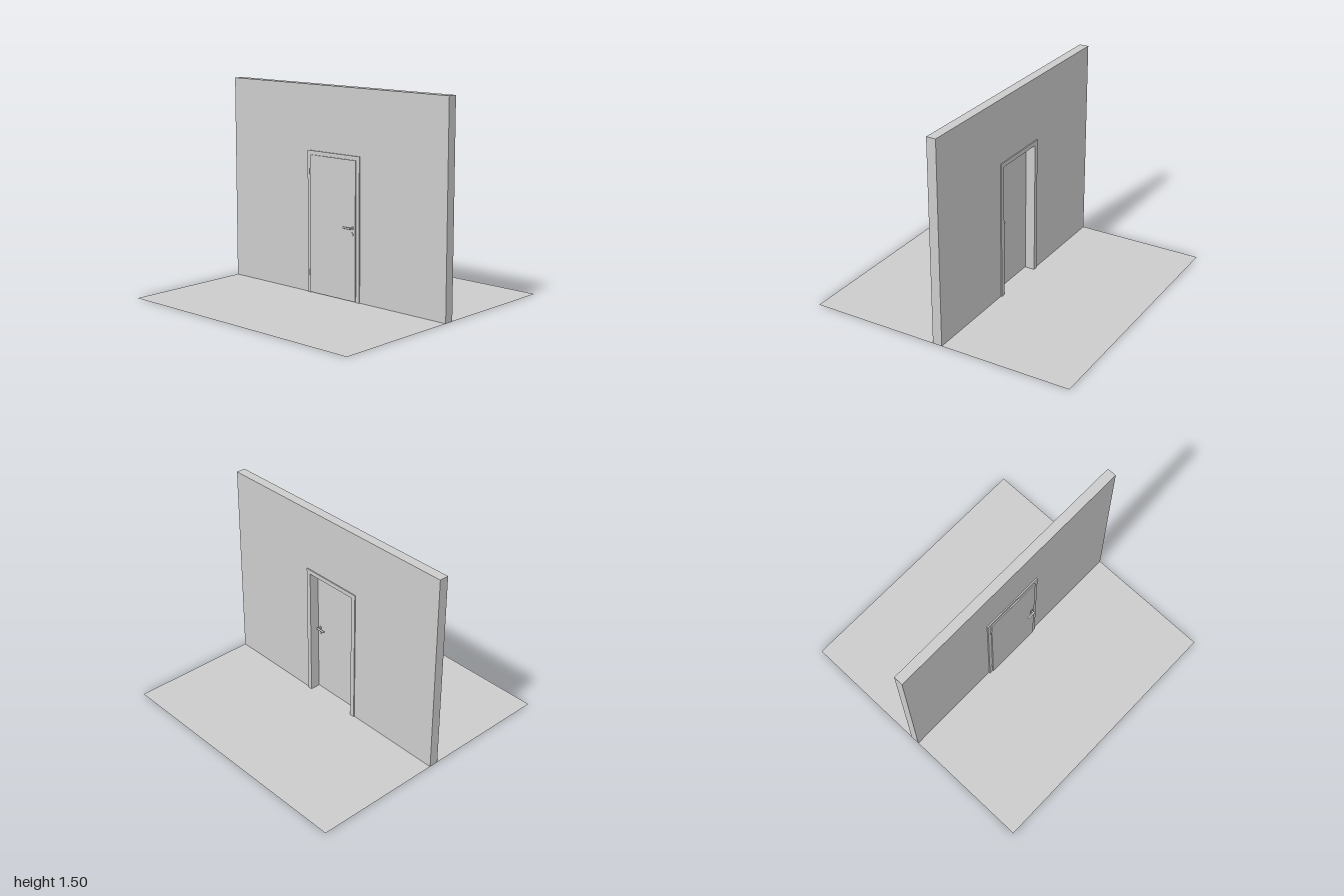
import * as THREE from 'three';

const material = new THREE.MeshStandardMaterial({ color: 0xcccccc });
const floorMaterial = new THREE.MeshStandardMaterial({ color: 0xcccccc, side: THREE.DoubleSide });

function part(parent, name, geometry, x = 0, y = 0, z = 0) {
  const mesh = new THREE.Mesh(geometry, material);
  mesh.name = name;
  mesh.position.set(x, y, z);
  parent.add(mesh);
  return mesh;
}

// Upright slab standing on the floor with a doorway cut from its lower edge
function archway(halfW, height, holeHalfW, holeHeight, zBack, zFront) {
  const shape = new THREE.Shape([
    [-halfW, 0], [-holeHalfW, 0], [-holeHalfW, holeHeight], [holeHalfW, holeHeight],
    [holeHalfW, 0], [halfW, 0], [halfW, height], [-halfW, height],
  ].map(([x, y]) => new THREE.Vector2(x, y)));
  const geometry = new THREE.ExtrudeGeometry(shape, { depth: zFront - zBack, bevelEnabled: false });
  return geometry.translate(0, 0, zBack);
}

function disc(radius, depth) {
  return new THREE.CylinderGeometry(radius, radius, depth, 24).rotateX(Math.PI / 2);
}

// Lever, neck and rosettes; built outward along +z from the leaf surface
function handleSet(name) {
  const group = new THREE.Group();
  group.name = name;
  part(group, 'handleRosette', disc(0.0135, 0.005), 0, 0.528, 0.0025);
  part(group, 'handleNeck', disc(0.006, 0.026), 0, 0.528, 0.013);
  const lever = new THREE.CylinderGeometry(0.007, 0.007, 0.067, 16).rotateZ(Math.PI / 2);
  part(group, 'lever', lever, -0.0275, 0.528, 0.025);
  part(group, 'keyRosette', disc(0.0125, 0.005), 0, 0.485, 0.0025);
  part(group, 'keyhole', new THREE.BoxGeometry(0.003, 0.01, 0.002), 0, 0.485, 0.0055);
  return group;
}

export function createModel() {
  const model = new THREE.Group();
  model.name = 'doorInWall';

  // Floor sheet
  const floor = part(model, 'floor', new THREE.PlaneGeometry(2, 2).rotateX(-Math.PI / 2));
  floor.material = floorMaterial;

  // Wall and the door frame that lines its opening
  part(model, 'wall', archway(1, 1.5, 0.23, 1.015, -0.035, 0.035));
  part(model, 'doorFrame', archway(0.245, 1.032, 0.21, 1.0, -0.043, 0.044));

  // Rebated leaf: body inside the frame, thin lip overlapping its front
  const door = new THREE.Group();
  door.name = 'door';
  model.add(door);
  part(door, 'leafBody', new THREE.BoxGeometry(0.418, 0.993, 0.016), 0, 0.5015, 0.038);
  part(door, 'leafLip', new THREE.BoxGeometry(0.432, 0.998, 0.008), 0, 0.504, 0.048);

  // Hinges on the right-hand jamb
  for (const y of [0.148, 0.882]) {
    part(door, 'hinge', new THREE.CylinderGeometry(0.006, 0.006, 0.04, 16), -0.22, y, 0.049);
  }

  // Handles on both faces
  const front = handleSet('frontHandle');
  front.position.set(0.187, 0, 0.052);
  const back = handleSet('backHandle');
  back.position.set(0.187, 0, 0.03);
  for (const child of back.children) child.position.z *= -1;
  door.add(front, back);

  return model;
}
